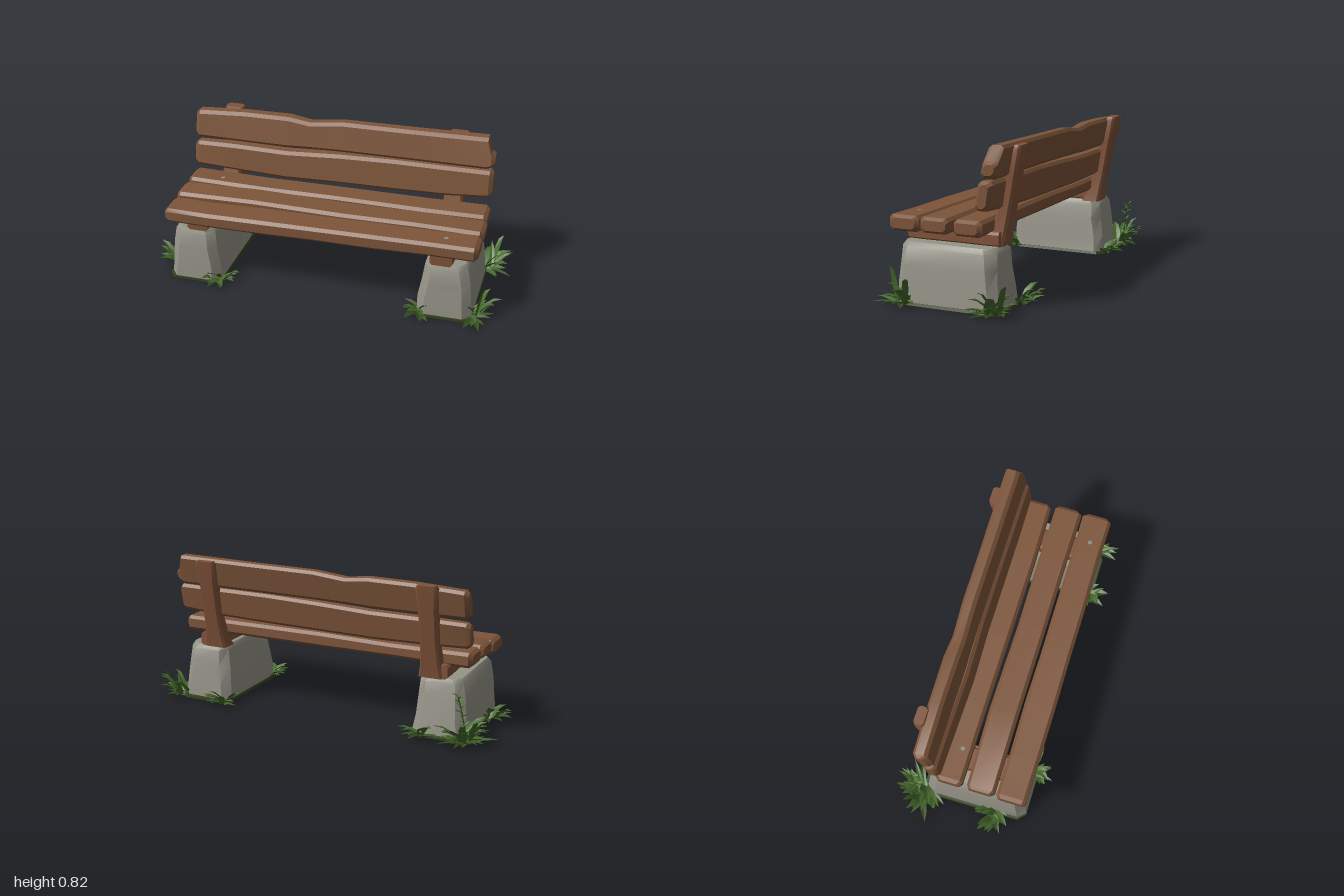
import * as THREE from 'three';
import { mergeGeometries, toCreasedNormals } from 'three/addons/utils/BufferGeometryUtils.js';

const mat = (name, color, side = THREE.FrontSide) => {
  const m = new THREE.MeshStandardMaterial({ color, side });
  m.name = name;
  return m;
};

// Seeded random numbers
let seed = 7;
const rnd = (a = 0, b = 1) => {
  seed = (seed * 16807) % 2147483647;
  return a + (b - a) * (seed / 2147483647);
};

// Closed solid through a row of rings, each a loop of [x, y, z]; ends are capped
function loft(rings, crease = 0.6) {
  const n = rings[0].length, pos = rings.flat(), idx = [];
  for (let r = 0; r < rings.length - 1; r++) {
    for (let i = 0; i < n; i++) {
      const a = r * n + i, b = r * n + (i + 1) % n;
      idx.push([a, b, a + n], [b, b + n, a + n]);
    }
  }
  const last = (rings.length - 1) * n;
  for (let i = 1; i < n - 1; i++) idx.push([0, i + 1, i], [last, last + i, last + i + 1]);
  // Turn the faces outward
  let volume = 0;
  const v = pos.map(p => new THREE.Vector3(...p));
  idx.forEach(([a, b, c]) => { volume += v[a].dot(v[b].clone().cross(v[c])); });
  if (volume < 0) idx.forEach(t => t.reverse());
  const g = new THREE.BufferGeometry();
  g.setAttribute('position', new THREE.Float32BufferAttribute(pos.flat(), 3));
  g.setIndex(idx.flat());
  return toCreasedNormals(g, crease);
}

// Rectangle with cut corners, as [u, v] pairs
const cutRect = (u0, u1, v0, v1, c) => [
  [u0 + c, v0], [u1 - c, v0], [u1, v0 + c], [u1, v1 - c],
  [u1 - c, v1], [u0 + c, v1], [u0, v1 - c], [u0, v0 + c]];

// Uneven plank along x: outline rows are [x, bottom, top]
function plank(outline, zBack, zFront, lean = 0) {
  const y0 = outline[0][1], rows = [];
  const ends = [outline[0], outline[outline.length - 1]];
  const row = ([x, lo, hi], inset, c) => {
    const a = zBack + inset + rnd(-0.005, 0.005), b = zFront - inset + rnd(-0.005, 0.005);
    return cutRect(a, b, lo + inset, hi - inset, c).map(([z, y]) => [x, y, z - lean * (y - y0)]);
  };
  rows.push(row(ends[0], 0.014, 0.014));
  outline.forEach(([x, lo, hi], i) => {
    const shift = i === 0 ? 0.02 : i === outline.length - 1 ? -0.02 : 0;
    rows.push(row([x + shift, lo, hi], 0, 0.016));
  });
  rows.push(row(ends[1], 0.014, 0.014));
  return loft(rows);
}

// Folded, arching leaf blade
function blade(x, y, z, angle, reach, height, width) {
  const pos = [], idx = [], dx = Math.cos(angle), dz = Math.sin(angle);
  [0.55, 1, 0.75, 0.02].forEach((k, i) => {
    const t = i / 3, w = width * k / 2;
    const px = x + dx * reach * t, pz = z + dz * reach * t;
    const py = y + height * (1.5 * t - 0.5 * t * t * t);
    pos.push(px - dz * w, py + w * 0.5, pz + dx * w, px, py, pz, px + dz * w, py + w * 0.5, pz - dx * w);
    if (i) for (const s of [0, 1]) {
      const a = (i - 1) * 3 + s;
      idx.push(a, a + 3, a + 1, a + 1, a + 3, a + 4);
    }
  });
  const g = new THREE.BufferGeometry();
  g.setAttribute('position', new THREE.Float32BufferAttribute(pos, 3));
  g.setIndex(idx);
  return toCreasedNormals(g, 0.5);
}

export function createModel() {
  seed = 7;
  const model = new THREE.Group();
  model.name = 'parkBench';
  const wood = mat('plankWood', 0x7d553a);
  const frameWood = mat('frameWood', 0x80523a);
  const stone = mat('stone', 0x969488);
  const moss = mat('darkMoss', 0x35431f);
  const grass = mat('grassGreen', 0x466a2c, THREE.DoubleSide);
  const darkGrass = mat('darkGrass', 0x34521f, THREE.DoubleSide);
  const metal = mat('nailGrey', 0x8c8c88);
  const add = (name, geo, material, parent = model) => {
    const m = new THREE.Mesh(geo, material);
    m.name = name;
    parent.add(m);
    return m;
  };

  // Seat planks
  add('seatPlankFront', plank([[-0.84, 0.345, 0.425], [-0.6, 0.345, 0.425], [-0.3, 0.35, 0.432], [0, 0.356, 0.436],
    [0.3, 0.358, 0.442], [0.6, 0.366, 0.445], [0.855, 0.37, 0.45]], 0.178, 0.338), wood);
  add('seatPlankMiddle', plank([[-0.84, 0.365, 0.44], [-0.4, 0.37, 0.448], [0.1, 0.37, 0.444],
    [0.5, 0.372, 0.45], [0.855, 0.372, 0.45]], 0.012, 0.165), wood);
  add('seatPlankRear', plank([[-0.84, 0.365, 0.445], [-0.4, 0.37, 0.44], [0, 0.368, 0.447],
    [0.5, 0.372, 0.448], [0.845, 0.37, 0.45]], -0.155, -0.006), wood);

  // Back planks
  add('backPlankLower', plank([[-0.84, 0.475, 0.61], [-0.6, 0.468, 0.615], [-0.3, 0.462, 0.615], [0, 0.468, 0.63],
    [0.3, 0.473, 0.64], [0.6, 0.482, 0.642], [0.845, 0.5, 0.645]], -0.192, -0.115, 0.16), wood);
  add('backPlankUpper', plank([[-0.84, 0.635, 0.782], [-0.55, 0.634, 0.797], [-0.3, 0.635, 0.8], [-0.18, 0.64, 0.784],
    [0, 0.644, 0.804], [0.4, 0.648, 0.808], [0.8, 0.65, 0.815], [0.845, 0.66, 0.74]], -0.225, -0.147, 0.22), wood);

  for (const s of [-1, 1]) {
    const side = new THREE.Group();
    side.name = s > 0 ? 'leftSupport' : 'rightSupport';
    model.add(side);

    // Stone foot, narrowing upward
    const footRows = [[0.005, 0.145, 0.33, -0.232], [0.1, 0.138, 0.328, -0.222], [0.2, 0.126, 0.318, -0.212],
      [0.285, 0.118, 0.31, -0.203], [0.31, 0.102, 0.298, -0.19]];
    add('stoneFoot', loft(footRows.map(([y, w, f, b]) => cutRect(-w, w, b, f, 0.042).map(([x, z]) =>
      [s * 0.69 + x + rnd(-0.006, 0.006), y, z + rnd(-0.004, 0.004)])), 0.7), stone, side);

    // Mossy ground patch under the foot
    add('groundPatch', loft([[0, 0.155], [0.014, 0.15]].map(([y, w]) =>
      cutRect(-w, w, -0.25, 0.335, 0.04).map(([x, z]) => [s * 0.69 + x, y, z]))), moss, side);

    // Seat rail, flared at the rear
    add('seatRail', loft([[0.305, 0.058], [0.24, 0.064], [0, 0.06], [-0.12, 0.064], [-0.195, 0.062]].map(([z, w]) =>
      cutRect(-w, w, 0.305, 0.378, 0.012).map(([x, y]) => [s * 0.665 + x, y, z]))), frameWood, side);

    // Leaning back post: height, rear z, front z, half width
    const postRows = [[0.305, -0.203, -0.1, 0.066], [0.36, -0.212, -0.13, 0.056], [0.5, -0.238, -0.17, 0.048],
      [0.66, -0.268, -0.205, 0.05], [0.785, -0.292, -0.235, 0.056], [0.802, -0.294, -0.242, 0.048]];
    add('backPost', loft(postRows.map(([y, b, f, w]) => cutRect(-w, w, b, f, 0.012).map(([x, z]) =>
      [s * 0.635 + x, y, z]))), frameWood, side);
  }

  // Nail heads
  for (const [x, y, z] of [[0.68, 0.446, 0.26], [-0.65, 0.4435, -0.06]]) {
    add('nailHead', new THREE.CylinderGeometry(0.012, 0.012, 0.006, 8), metal).position.set(x, y, z);
  }

  // Grass clumps: x, z, facing angle, spread, blade count, reach, height
  const clumps = [
    [-0.83, -0.24, -2.3, 2.0, 34, 0.17, 0.12],
    [-0.6, -0.25, -1.5, 1.5, 12, 0.13, 0.08],
    [-0.84, 0.15, 3.14, 1.5, 13, 0.12, 0.09],
    [-0.56, 0.3, 1.1, 1.5, 13, 0.12, 0.09],
    [0.56, 0.3, 2.0, 1.5, 13, 0.12, 0.09],
    [0.84, 0.27, 0.35, 1.5, 16, 0.14, 0.12],
    [0.57, -0.25, -1.7, 1.5, 13, 0.13, 0.09],
    [0.84, -0.22, -0.5, 1.6, 22, 0.14, 0.13]];
  for (const [x, z, angle, spread, n, reach, height] of clumps) {
    const light = [], dark = [];
    for (let i = 0; i < n; i++) {
      const a = angle + spread * (2 * (i + rnd()) / n - 1);
      const low = i % 3 === 0;
      (low ? dark : light).push(blade(x + rnd(-0.03, 0.03), 0.004, z + rnd(-0.03, 0.03), a,
        reach * rnd(0.6, 1), low ? rnd(0.008, 0.03) : height * rnd(0.25, 1), rnd(0.028, 0.046)));
    }
    add('grassClump', mergeGeometries(light), grass);
    add('lowGrass', mergeGeometries(dark), darkGrass);
  }
  // Tall single blades
  add('tallBlades', mergeGeometries([
    blade(0.86, 0.004, 0.29, 0.3, 0.05, 0.21, 0.04), blade(0.86, 0.004, 0.25, -0.6, 0.07, 0.15, 0.035),
    blade(0.86, 0.004, -0.26, -0.9, 0.08, 0.17, 0.035), blade(-0.87, 0.004, -0.25, -2.4, 0.1, 0.15, 0.035)]), grass);

  // Tall leafy stem
  const stem = new THREE.CatmullRomCurve3([[-0.84, 0, -0.25], [-0.85, 0.1, -0.27], [-0.835, 0.2, -0.285],
    [-0.825, 0.26, -0.3]].map(p => new THREE.Vector3(...p)));
  add('stem', new THREE.TubeGeometry(stem, 10, 0.003, 5), darkGrass);
  const leaves = [];
  for (let i = 0; i < 14; i++) {
    const p = stem.getPoint(0.3 + 0.7 * i / 13);
    leaves.push(blade(p.x, p.y, p.z, i * 2.4, 0.045 - i * 0.001, 0.018, 0.02));
  }
  add('stemLeaves', mergeGeometries(leaves), grass);

  return model;
}
